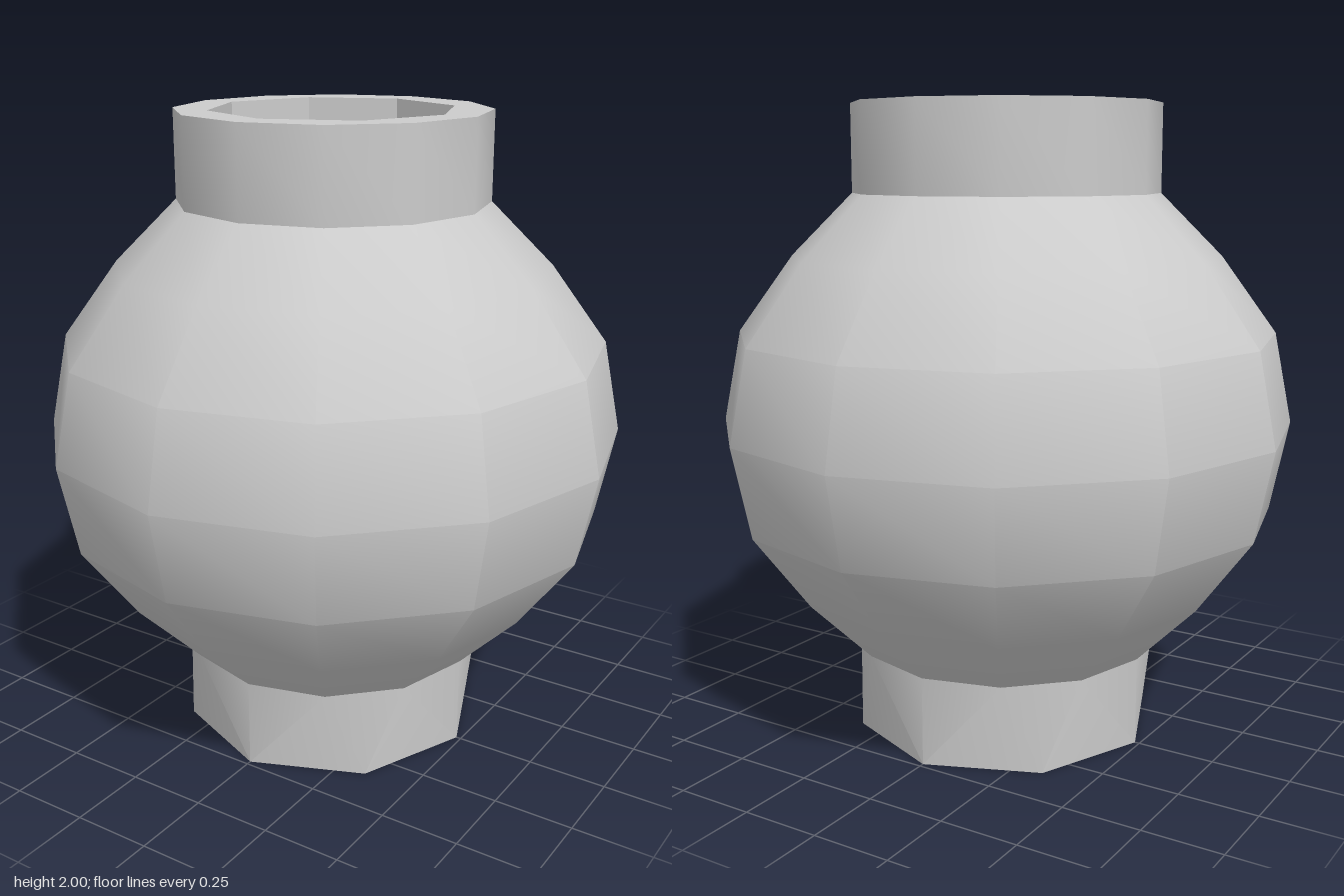
import * as THREE from 'three';
import { toCreasedNormals } from 'three/addons/utils/BufferGeometryUtils.js';
import { ConvexGeometry } from 'three/addons/geometries/ConvexGeometry.js';

const SIDES = 12, INNER_SIDES = 8;
const COLLAR = 0.485, HOLE = 0.38;
const CREASE = 0.61;

// Corners of a regular polygon, the first on the x axis
function polygon(radius, sides) {
  return Array.from({ length: sides }, (_, i) => {
    const a = (i / sides) * Math.PI * 2;
    return new THREE.Vector2(Math.cos(a) * radius, Math.sin(a) * radius);
  });
}

function lathe(profile, sides) {
  const points = profile.map(([r, y]) => new THREE.Vector2(r, y));
  return toCreasedNormals(new THREE.LatheGeometry(points, sides), CREASE);
}

export function createModel() {
  const group = new THREE.Group();
  const material = new THREE.MeshStandardMaterial({ color: 0xcccccc });
  const add = (name, geometry) => {
    const mesh = new THREE.Mesh(geometry, material);
    mesh.name = name;
    group.add(mesh);
  };

  // Round belly
  add('belly', lathe([
    [COLLAR, 0.28], [0.68, 0.475], [0.857, 0.715], [0.915, 1.0],
    [0.857, 1.288], [0.68, 1.53], [COLLAR, 1.725],
  ], SIDES));

  // Upright neck
  add('neck', lathe([[COLLAR, 1.725], [COLLAR, 2]], SIDES));

  // Flat twelve-sided rim around an eight-sided opening
  const rim = new THREE.Shape(polygon(COLLAR, SIDES));
  rim.holes.push(new THREE.Path(polygon(HOLE, INNER_SIDES)));
  add('rim', new THREE.ShapeGeometry(rim).rotateX(-Math.PI / 2).translate(0, 2, 0));

  // Shallow recess: wall and floor
  add('recess', lathe([[HOLE, 2], [HOLE, 1.87], [0, 1.87]], INNER_SIDES));

  // Foot, changing from twelve sides at the belly to eight at the ground
  const ring = (sides, y) => polygon(COLLAR, sides).map((p) => new THREE.Vector3(p.x, y, p.y));
  const foot = new ConvexGeometry([...ring(SIDES, 0.28), ...ring(INNER_SIDES, 0)]);
  add('foot', toCreasedNormals(foot, CREASE));

  return group;
}
